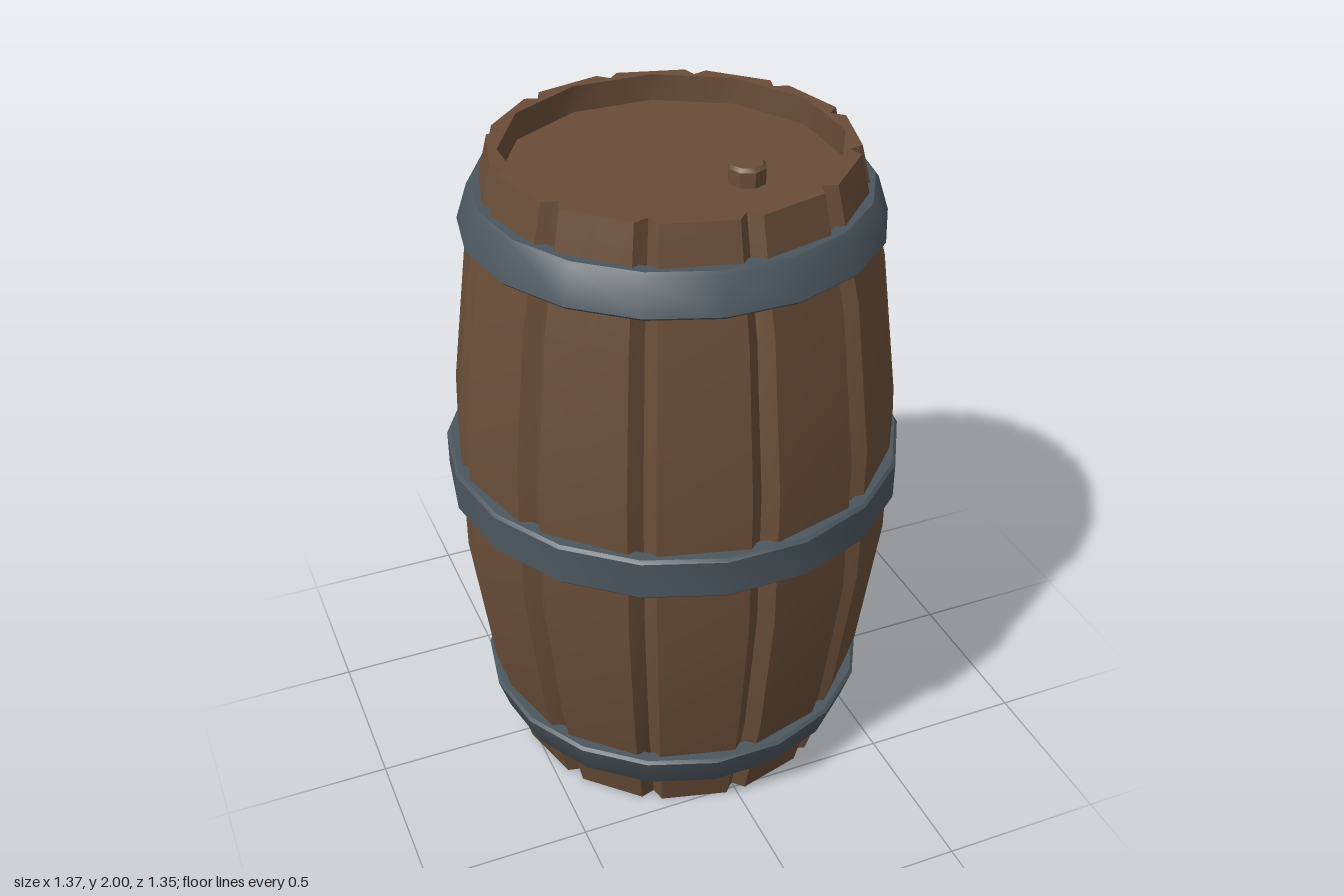
import * as THREE from 'three';
import { toCreasedNormals } from 'three/addons/utils/BufferGeometryUtils.js';

const STAVES = 12;
const STEP = (Math.PI * 2) / STAVES;
const GROOVE = THREE.MathUtils.degToRad(3.5); // half the groove's angular width
const CREASE = THREE.MathUtils.degToRad(35);
const LID_Y = 1.92;
const RIM = 0.464; // inner rim, centre to flat

// One ring of staves: groove bottom, stave edge, stave middle, stave edge
function staveRing(radius, y) {
  const offsets = [
    [0, radius - 0.034],
    [GROOVE, radius],
    [STEP / 2, radius * Math.cos(STEP / 2 - GROOVE)],
    [STEP - GROOVE, radius],
  ];
  return ring(y, offsets);
}

// Ring of a plain twelve-sided opening, with corners at the stave middles
function rimRing(apothem, y) {
  return ring(y, [0, GROOVE, STEP / 2, STEP - GROOVE].map((a) =>
    [a, apothem / Math.cos(Math.min(a, STEP - a))]));
}

function ring(y, offsets) {
  const points = [];
  for (let s = 0; s < STAVES; s++) {
    for (const [a, r] of offsets) {
      const t = s * STEP + a;
      points.push([r * Math.cos(t), y, r * Math.sin(t)]);
    }
  }
  return points;
}

// Joins rings into a skin, with a flat cap under the first one
function loft(rings) {
  const positions = [];
  const n = rings[0].length;
  for (let j = 0; j < n; j++) {
    const k = (j + 1) % n;
    positions.push(...rings[0][j], ...rings[0][k], 0, rings[0][j][1], 0);
    for (let i = 0; i < rings.length - 1; i++) {
      const a = rings[i][j], b = rings[i][k], c = rings[i + 1][j], d = rings[i + 1][k];
      positions.push(...a, ...c, ...b, ...b, ...c, ...d);
    }
  }
  const geometry = new THREE.BufferGeometry();
  geometry.setAttribute('position', new THREE.Float32BufferAttribute(positions, 3));
  return toCreasedNormals(geometry, CREASE);
}

// Eighteen-sided band with chamfered edges; radii at its bottom and top
function hoopGeometry(y0, y1, r0, r1) {
  const c = 0.009, t = 0.045;
  const profile = [
    [r0 - t, y0], [r0 - c, y0], [r0, y0 + c],
    [r1, y1 - c], [r1 - c, y1], [r1 - t, y1], [r0 - t, y0],
  ].map(([r, y]) => new THREE.Vector2(r, y));
  return toCreasedNormals(new THREE.LatheGeometry(profile, 18, Math.PI / 2), CREASE);
}

export function createModel() {
  const model = new THREE.Group();
  model.name = 'barrel';

  const wood = new THREE.MeshStandardMaterial({ color: 0x694d38 });
  wood.name = 'wood';
  const iron = new THREE.MeshStandardMaterial({ color: 0x4b565e });
  iron.name = 'iron';

  const add = (name, geometry, material) => {
    const mesh = new THREE.Mesh(geometry, material);
    mesh.name = name;
    model.add(mesh);
    return mesh;
  };

  // Bulging staves, rim and inner wall
  const bulge = [[0.515, 0], [0.598, 0.33], [0.656, 0.78], [0.656, 1.22], [0.598, 1.67], [0.515, 2]];
  add('staves', loft([
    ...bulge.map(([r, y]) => staveRing(r, y)),
    rimRing(RIM, 2),
    rimRing(RIM, LID_Y),
  ]), wood);

  // Sunken lid
  const lid = new THREE.CircleGeometry(RIM / Math.cos(STEP / 2), STAVES, STEP / 2);
  lid.rotateX(-Math.PI / 2);
  add('lid', lid, wood).position.y = LID_Y;

  // Bung with a chamfered top
  const bungProfile = [[0.055, 0], [0.055, 0.045], [0.046, 0.055], [0, 0.055]]
    .map(([r, y]) => new THREE.Vector2(r, y));
  const bung = toCreasedNormals(new THREE.LatheGeometry(bungProfile, 8), CREASE);
  add('bung', bung, wood).position.set(0.15, LID_Y, 0.16);

  // Iron hoops
  add('lowerHoop', hoopGeometry(0.12, 0.24, 0.572, 0.605), iron);
  add('middleHoop', hoopGeometry(0.94, 1.07, 0.685, 0.685), iron);
  add('upperHoop', hoopGeometry(1.77, 1.89, 0.605, 0.572), iron);

  return model;
}
